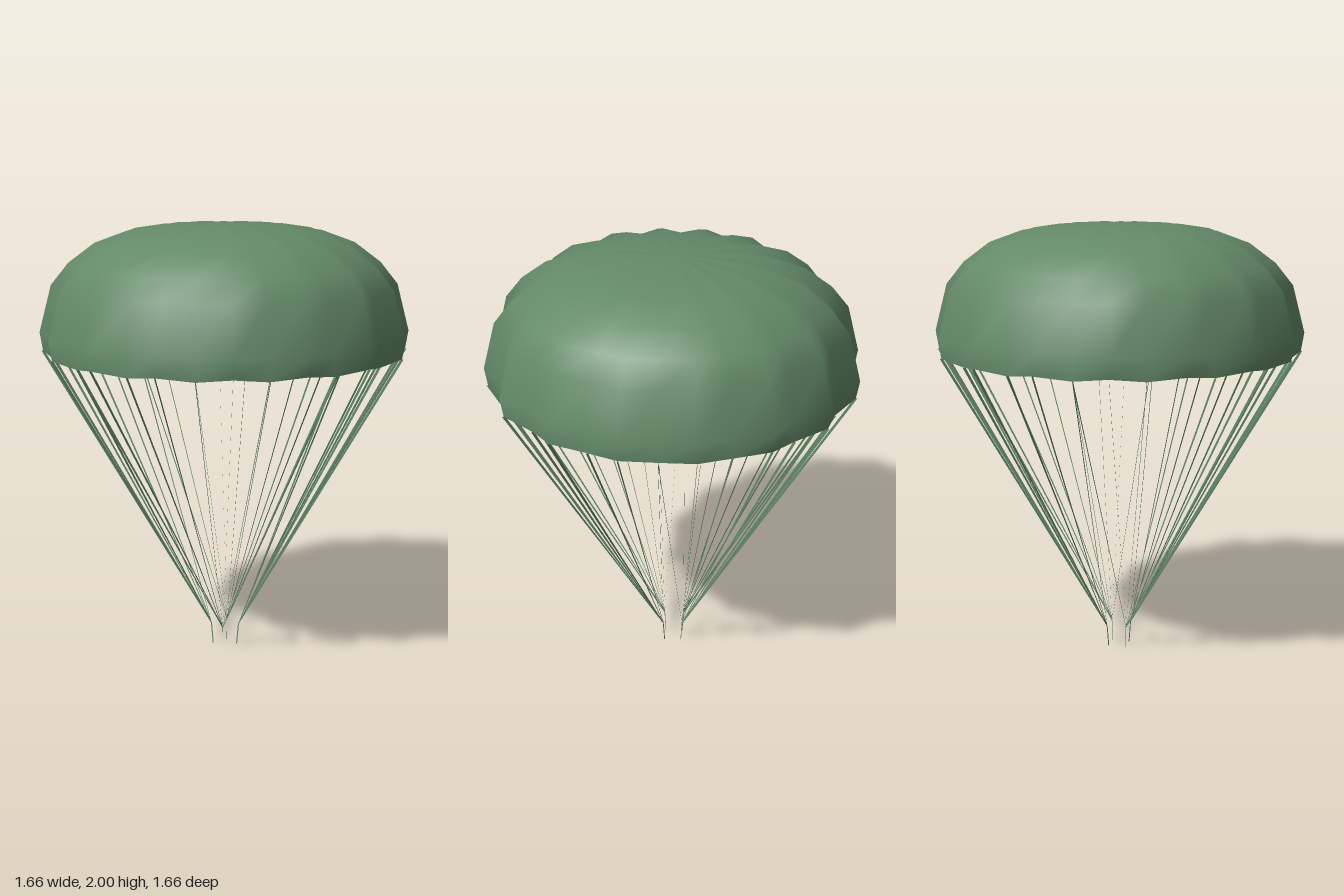
import * as THREE from 'three';

const SEGMENTS = 32; // 16 gores: even columns are seams, odd columns are bulges
const fabric = new THREE.MeshStandardMaterial({ color: 0x648a68, side: THREE.DoubleSide });

// Bulge profile from rim to crown: radius, height, seam radius ratio, seam drop
const PROFILE = [
  [0.832, 1.42, 0.94, 0.02],
  [0.846, 1.505, 0.93, 0.01],
  [0.79, 1.72, 0.935, 0.01],
  [0.71, 1.82, 0.94, 0.012],
  [0.59, 1.91, 0.95, 0.015],
  [0.44, 1.965, 0.96, 0.015],
  [0.30, 1.987, 0.97, 0.01],
  [0.15, 1.997, 0.98, 0.004],
];

function canopyPoint(ring, column) {
  const [r, y, ratio, drop] = PROFILE[ring];
  const seam = column % 2 === 0;
  const radius = seam ? r * ratio : r;
  const a = (column / SEGMENTS) * Math.PI * 2;
  return new THREE.Vector3(Math.sin(a) * radius, seam ? y - drop : y, Math.cos(a) * radius);
}

function surface(points, index) {
  const g = new THREE.BufferGeometry().setFromPoints(points);
  g.setIndex(index);
  g.computeVertexNormals();
  return g;
}

// Scalloped dome, open underneath
function createCanopy() {
  const points = [], index = [];
  const rings = PROFILE.length;
  for (let i = 0; i < rings; i++)
    for (let j = 0; j < SEGMENTS; j++) points.push(canopyPoint(i, j));
  const crown = points.push(new THREE.Vector3(0, 2, 0)) - 1;
  for (let i = 0; i < rings; i++) {
    for (let j = 0; j < SEGMENTS; j++) {
      const k = (j + 1) % SEGMENTS;
      const a = i * SEGMENTS + j, b = i * SEGMENTS + k;
      if (i === rings - 1) index.push(a, b, crown);
      else index.push(a, b, b + SEGMENTS, a, b + SEGMENTS, a + SEGMENTS);
    }
  }
  return new THREE.Mesh(surface(points, index), fabric);
}

// Thin flat strap whose width lies along the given direction
function createStrap(top, bottom, across, topWidth, bottomWidth) {
  const t = across.clone().multiplyScalar(topWidth / 2);
  const b = across.clone().multiplyScalar(bottomWidth / 2);
  const points = [
    top.clone().sub(t), top.clone().add(t),
    bottom.clone().add(b), bottom.clone().sub(b),
  ];
  return new THREE.Mesh(surface(points, [0, 1, 2, 0, 2, 3]), fabric);
}

export function createModel() {
  const model = new THREE.Group();
  const canopy = createCanopy();
  canopy.name = 'canopy';
  model.add(canopy);

  const lines = new THREE.Group();
  lines.name = 'suspensionLines';
  const risers = new THREE.Group();
  risers.name = 'risers';
  model.add(lines, risers);

  // Each quadrant of the rim gathers into one riser
  for (let q = 0; q < 4; q++) {
    const sx = q < 2 ? 1 : -1;
    const sz = q === 0 || q === 3 ? 1 : -1;
    const joint = new THREE.Vector3(0.046 * sx, 0.1, 0.046 * sz);
    const foot = new THREE.Vector3(0.04 * sx, 0, 0.04 * sz);
    const outward = new THREE.Vector3(sx, 0, sz).normalize();

    const riser = createStrap(joint, foot, outward, 0.005, 0.005);
    riser.name = 'riser';
    risers.add(riser);

    for (let n = 0; n <= SEGMENTS / 4; n++) {
      const rim = canopyPoint(0, q * SEGMENTS / 4 + n);
      const radial = new THREE.Vector3(rim.x, 0, rim.z).normalize();
      const line = createStrap(rim, joint, radial, 0.014, 0.004);
      line.name = 'suspensionLine';
      lines.add(line);
    }
  }
  return model;
}
